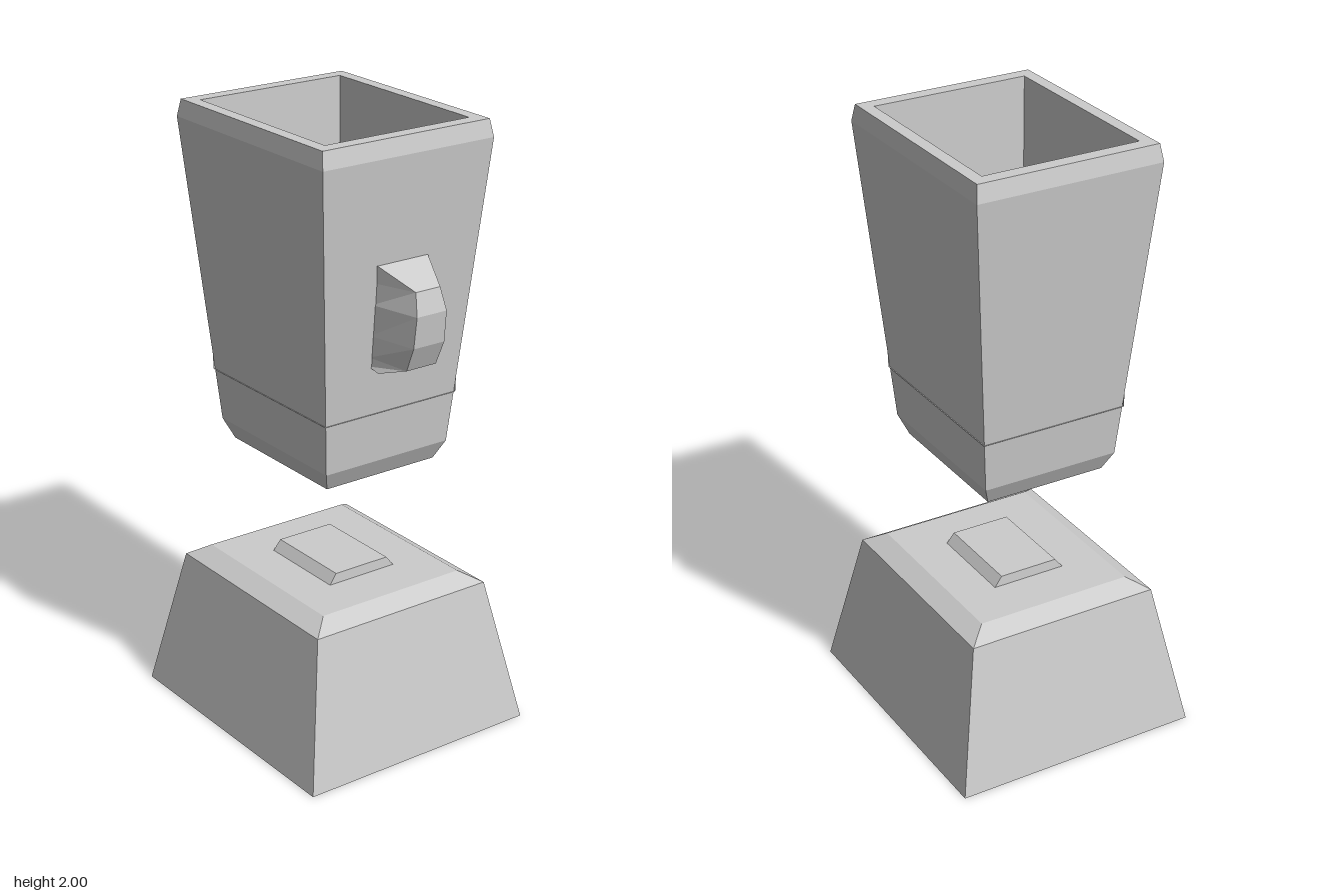
import * as THREE from 'three';

const material = new THREE.MeshStandardMaterial({ color: 0xcccccc, flatShading: true });

// Skin a stack of four-cornered rings and cap both ends
function loft(name, rings) {
  const pos = [];
  const quad = (a, b, c, d) => pos.push(...a, ...b, ...c, ...a, ...c, ...d);
  for (let i = 0; i < rings.length - 1; i++) {
    const a = rings[i], b = rings[i + 1];
    for (let j = 0; j < 4; j++) {
      const k = (j + 1) % 4;
      quad(a[j], a[k], b[k], b[j]);
    }
  }
  quad(...[...rings[0]].reverse());
  quad(...rings[rings.length - 1]);
  const geo = new THREE.BufferGeometry();
  geo.setAttribute('position', new THREE.Float32BufferAttribute(pos, 3));
  geo.computeVertexNormals();
  const mesh = new THREE.Mesh(geo, material);
  mesh.name = name;
  return mesh;
}

// Horizontal rectangle at height y, with half width hx and half depth hz
const CX = -0.012;
const rect = ([y, hx, hz]) =>
  [[1, 1], [1, -1], [-1, -1], [-1, 1]].map(([sx, sz]) => [CX + sx * hx, y, sz * hz]);

// Handle slice from the jug wall to the grip, each end with its own half depth
const slice = ([xi, yi, hi, xo, yo, ho]) =>
  [[xi, yi, hi], [xo, yo, ho], [xo, yo, -ho], [xi, yi, -hi]];

export function createModel() {
  const group = new THREE.Group();
  group.name = 'blender';

  // Tapered motor base with a bevelled top
  group.add(loft('base', [
    [0, 0.468, 0.418],
    [0.475, 0.37, 0.328],
    [0.512, 0.312, 0.265],
  ].map(rect)));

  // Raised coupling on the base
  group.add(loft('coupling', [
    [0.51, 0.156, 0.127],
    [0.545, 0.154, 0.1],
  ].map(rect)));

  // Jug: underside recess, outer wall, rim, inner wall and floor
  group.add(loft('jug', [
    [0.935, 0.2, 0.16],
    [0.9, 0.21, 0.17],
    [0.9, 0.25, 0.205],
    [0.963, 0.282, 0.231],
    [1.945, 0.378, 0.311],
    [2, 0.366, 0.303],
    [2, 0.32, 0.262],
    [1.13, 0.302, 0.248],
  ].map(rect)));

  // Solid faceted handle on the left wall, listed from bottom to top
  group.add(loft('handle', [
    [0.29, 1.29, 0.09, 0.335, 1.28, 0.087],
    [0.295, 1.32, 0.09, 0.43, 1.31, 0.055],
    [0.3, 1.39, 0.091, 0.465, 1.39, 0.057],
    [0.31, 1.49, 0.092, 0.476, 1.49, 0.055],
    [0.318, 1.56, 0.093, 0.456, 1.56, 0.045],
    [0.32, 1.615, 0.093, 0.337, 1.617, 0.093],
  ].map(slice)));

  return group;
}
